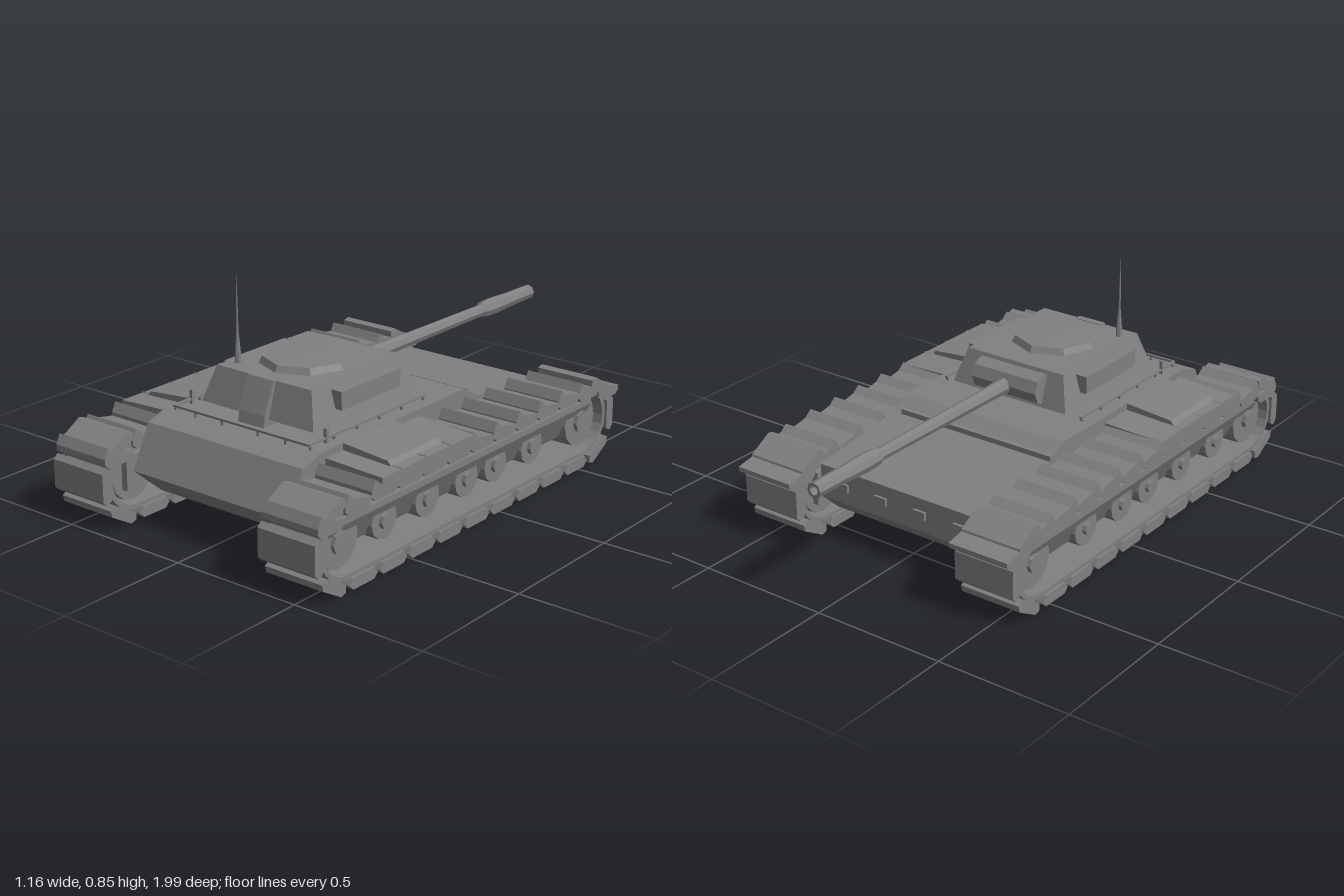
import * as THREE from 'three';

const steel = new THREE.MeshStandardMaterial({ color: 0x808080, flatShading: true });
steel.name = 'steel grey';

// Prism from a [z, y] outline, spanning x0..x1
function prism(points, x0, x1, holes = []) {
  const shape = new THREE.Shape(points.map(([z, y]) => new THREE.Vector2(z, y)));
  for (const h of holes) shape.holes.push(new THREE.Path(h.map(([z, y]) => new THREE.Vector2(z, y))));
  const g = new THREE.ExtrudeGeometry(shape, { depth: x1 - x0, bevelEnabled: false });
  return g.rotateY(-Math.PI / 2).translate(x1, 0, 0);
}

// Prism from an [x, y] outline, spanning z0..z1
function bar(points, z0, z1) {
  const shape = new THREE.Shape(points.map(([x, y]) => new THREE.Vector2(x, y)));
  return new THREE.ExtrudeGeometry(shape, { depth: z1 - z0, bevelEnabled: false }).translate(0, 0, z0);
}

function box(x0, x1, y0, y1, z0, z1) {
  return new THREE.BoxGeometry(x1 - x0, y1 - y0, z1 - z0)
    .translate((x0 + x1) / 2, (y0 + y1) / 2, (z0 + z1) / 2);
}

function part(parent, name, geometry) {
  const m = new THREE.Mesh(geometry, steel);
  m.name = name;
  parent.add(m);
  return m;
}

// Track loop layout
const REAR = 0.83, FRONT = -0.55, MID = 0.165, R = 0.14;
const IN = 0.345, OUT = 0.58;

function stadium(r) {
  const pts = [];
  for (let i = 0; i <= 10; i++) {
    const a = -Math.PI / 2 + (i / 10) * Math.PI;
    pts.push([REAR + r * Math.cos(a), MID + r * Math.sin(a)]);
  }
  for (let i = 0; i <= 10; i++) {
    const a = Math.PI / 2 + (i / 10) * Math.PI;
    pts.push([FRONT + r * Math.cos(a), MID + r * Math.sin(a)]);
  }
  return pts;
}

function buildTrack(side) {
  const g = new THREE.Group();
  g.name = side > 0 ? 'leftTrack' : 'rightTrack';
  const place = (name, geo) => part(g, name, geo);
  const X0 = side > 0 ? IN : -OUT, X1 = side > 0 ? OUT : -IN;
  const span = (a, b) => (side > 0 ? [a, b] : [-b, -a]);

  // Thin inner belt
  place('trackBelt', prism(stadium(0.125), ...span(0.355, 0.57), [stadium(0.108)]));

  // Bevelled links; outline is along the run and outward
  const link = (len, z, y, angle) => {
    const h = len / 2;
    const m = place('trackLink', prism(
      [[-h * 0.8, -0.018], [h * 0.8, -0.018], [h, 0.005], [h * 0.75, 0.023], [-h * 0.75, 0.023], [-h, 0.005]], X0, X1));
    m.position.set(0, y, z);
    m.rotation.x = angle;
  };
  const step = (REAR - FRONT) / 9;
  for (let i = 0; i < 9; i++) link(0.142, FRONT + step * (i + 0.5), MID - R, Math.PI);
  for (let i = 0; i < 3; i++) {
    const a = (i - 1) * Math.PI / 3;
    link(0.135, REAR + R * Math.cos(a), MID + R * Math.sin(a), Math.PI / 2 - a);
    link(0.135, FRONT - R * Math.cos(a), MID + R * Math.sin(a), a - Math.PI / 2);
  }

  // Upper run: slanted slats, each with a ridge
  for (let i = 0; i < 13; i++) {
    const z = -0.645 + i * 0.1325;
    const drop = i === 0 || i === 12 ? 0.04 : i === 1 || i === 11 ? 0.008 : 0;
    const s = place('trackSlat', prism(
      [[-0.115, 0.283], [-0.095, 0.268], [0, 0.268], [0.018, 0.285], [0.018, 0.305], [0, 0.34], [-0.03, 0.316], [-0.115, 0.3]], X0, X1));
    s.position.set(0, -drop, z + 0.015);
  }

  // Recessed suspension housing, undercut towards the hull
  const housing = [[0.345, 0.245], [0.555, 0.245], [0.555, 0.222], [0.505, 0.12], [0.345, 0.12]]
    .map(([x, y]) => [x * side, y]);
  place('suspensionHousing', bar(housing, -0.6, 0.88));

  // Road wheels, with larger wheels at both ends
  const wheel = (name, r, z, y) => {
    const w = new THREE.CylinderGeometry(r, r, 0.17, 12).rotateZ(Math.PI / 2);
    place(name, w).position.set(side * 0.455, y, z);
    const hub = new THREE.CylinderGeometry(r * 0.35, r * 0.45, 0.2, 8).rotateZ(Math.PI / 2);
    place('wheelHub', hub).position.set(side * 0.455, y, z);
  };
  for (const z of [0.6, 0.37, 0.15, -0.02, -0.24]) wheel('roadWheel', 0.065, z, 0.16);
  wheel('idlerWheel', 0.095, 0.83, MID);
  wheel('driveWheel', 0.095, FRONT, MID);

  // Fender over the middle of the track and its sloped stowage box
  const slope = (pts) => pts.map(([x, y]) => [x * side, y]);
  place('fender', bar(slope([[0.34, 0.3], [0.58, 0.3], [0.58, 0.335], [0.34, 0.345]]), 0.16, 0.66));
  place('stowageBox', bar(slope([[0.34, 0.33], [0.55, 0.33], [0.53, 0.353], [0.34, 0.37]]), 0.3, 0.57));
  return g;
}

function buildTurret() {
  const t = new THREE.Group();
  t.name = 'turret';
  part(t, 'turretRing', box(-0.21, 0.21, 0.365, 0.4, 0.09, 0.56));

  // Tapered turret body
  const body = box(-0.248, 0.248, 0.393, 0.52, 0.05, 0.605);
  const p = body.attributes.position;
  for (let i = 0; i < p.count; i++) {
    if (p.getY(i) < 0.5) continue;
    p.setX(i, Math.sign(p.getX(i)) * 0.21);
    p.setZ(i, p.getZ(i) > 0.3 ? 0.567 : 0.09);
  }
  part(t, 'turretBody', body);
  part(t, 'rearBin', prism([[0.55, 0.365], [0.635, 0.365], [0.625, 0.41], [0.578, 0.522], [0.55, 0.522]], -0.058, 0.055));
  for (const s of [-1, 1]) {
    part(t, 'sideBin', box(s > 0 ? 0.21 : -0.262, s > 0 ? 0.262 : -0.21, 0.435, 0.5, 0.16, 0.475));
  }

  // Octagonal hatch with a shallow dome
  part(t, 'hatch', new THREE.CylinderGeometry(0.152, 0.165, 0.026, 8).translate(0, 0.531, 0.345));
  part(t, 'hatchDome', new THREE.ConeGeometry(0.15, 0.005, 8, 1, true).translate(0, 0.5465, 0.345));

  // Antenna
  const mast = new THREE.LatheGeometry([[0.011, 0.515], [0.011, 0.55], [0.004, 0.63], [0.0025, 0.75], [0, 0.845]]
    .map(([r, y]) => new THREE.Vector2(r, y)), 6);
  part(t, 'antenna', mast).position.set(-0.17, 0, 0.505);

  // Mantlet and gun
  part(t, 'mantlet', new THREE.CylinderGeometry(0.058, 0.058, 0.28, 8).rotateZ(Math.PI / 2)
    .translate(-0.004, 0.455, 0.07));
  const gun = new THREE.LatheGeometry([[0, -0.06], [0.03, -0.06], [0.027, 0.1], [0.023, 0.68], [0.031, 0.69], [0.034, 0.76], [0.029, 0.87], [0.028, 1], [0.017, 1], [0.017, 0.95], [0, 0.95]]
    .map(([r, d]) => new THREE.Vector2(r, d)), 8);
  part(t, 'gunBarrel', gun.rotateX(-Math.PI / 2)).position.set(-0.002, 0.449, 0);
  return t;
}

export function createModel() {
  const tank = new THREE.Group();
  tank.name = 'tank';

  // Hull with stepped front deck and undercut ends
  part(tank, 'hull', prism([
    [0.68, 0.37], [0.77, 0.34], [0.848, 0.185], [0.72, 0.075], [-0.5, 0.075], [-0.58, 0.15],
    [-0.58, 0.275], [-0.18, 0.325], [-0.1, 0.37]], -0.345, 0.345));
  part(tank, 'deckRidge', box(-0.345, 0.31, 0.32, 0.345, -0.178, -0.16));
  for (let i = 0; i < 4; i++) {
    part(tank, 'towLug', box(-0.29 + i * 0.17, -0.24 + i * 0.17, 0.2, 0.23, -0.59, -0.57));
  }

  tank.add(buildTrack(1), buildTrack(-1), buildTurret());

  // Deck rail on short posts
  const rail = new THREE.Group();
  rail.name = 'deckRail';
  tank.add(rail);
  part(rail, 'rearRail', box(-0.3, 0.3, 0.382, 0.39, 0.684, 0.692));
  for (const x of [-0.2, -0.08, 0.08, 0.2]) part(rail, 'railPost', box(x - 0.004, x + 0.004, 0.345, 0.386, 0.684, 0.691));
  for (const s of [-1, 1]) {
    const x = s * 0.3;
    part(rail, 'sideRail', box(x - 0.004, x + 0.004, 0.382, 0.39, 0.07, 0.69));
    for (let i = 0; i < 6; i++) {
      const z = 0.08 + i * 0.12;
      part(rail, 'railPost', box(x - 0.004, x + 0.004, 0.355, 0.386, z - 0.004, z + 0.004));
    }
    part(rail, 'cornerPost', box(x - 0.006, x + 0.006, 0.36, 0.42, 0.595, 0.607));
  }
  return tank;
}
